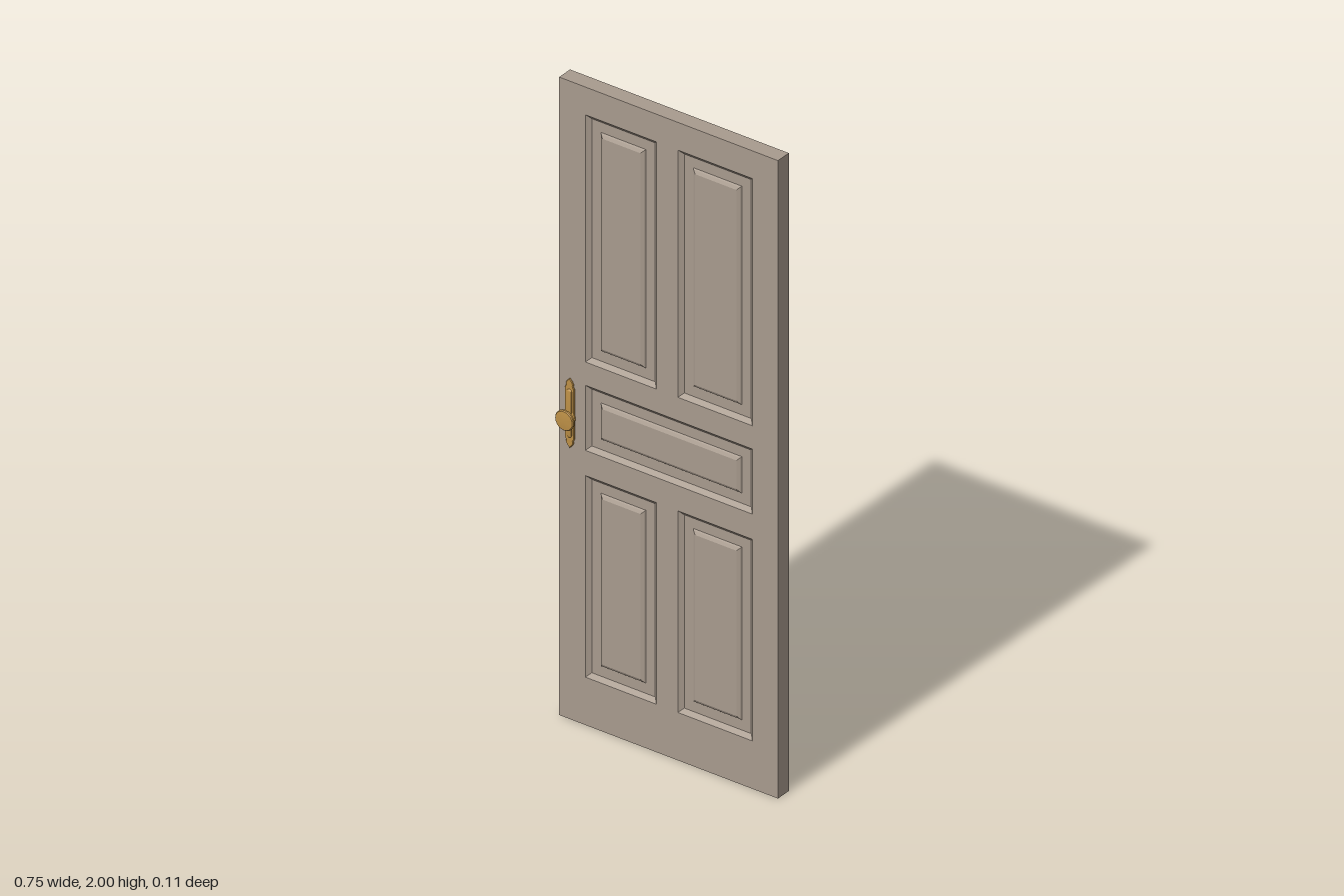
import * as THREE from 'three';
import { toCreasedNormals } from 'three/addons/utils/BufferGeometryUtils.js';

const HALF = 0.0255; // half the door thickness

// Flat-faced rings between successive rectangles [x0, y0, x1, y1, z], optionally capped
function rectRings(loops, cap) {
  const pos = [];
  const corners = ([x0, y0, x1, y1, z]) => [[x0, y0, z], [x1, y0, z], [x1, y1, z], [x0, y1, z]];
  const quad = (a, b, c, d) => pos.push(...a, ...b, ...c, ...a, ...c, ...d);
  for (let k = 0; k < loops.length - 1; k++) {
    const a = corners(loops[k]), b = corners(loops[k + 1]);
    for (let i = 0; i < 4; i++) quad(a[i], a[(i + 1) % 4], b[(i + 1) % 4], b[i]);
  }
  if (cap) quad(...corners(loops[loops.length - 1]));
  const g = new THREE.BufferGeometry();
  g.setAttribute('position', new THREE.Float32BufferAttribute(pos, 3));
  g.computeVertexNormals();
  return g;
}

const inset = ([x0, y0, x1, y1], d, z) => [x0 + d, y0 + d, x1 - d, y1 - d, z];

function rectPath(PathType, [x0, y0, x1, y1]) {
  return new PathType([[x0, y0], [x1, y0], [x1, y1], [x0, y1]].map(p => new THREE.Vector2(...p)));
}

// One face of the door: stiles and rails, half of the edge, and five raised panels
function makeDoorFace(wood) {
  const face = new THREE.Group();
  const add = (geo, name) => {
    const m = new THREE.Mesh(geo, wood);
    m.name = name;
    face.add(m);
  };
  const panels = [
    [-0.285, 1.138, -0.041, 1.913], [0.033, 1.138, 0.289, 1.913],
    [-0.285, 0.861, 0.289, 1.065],
    [-0.285, 0.15, -0.041, 0.782], [0.033, 0.15, 0.289, 0.782],
  ];
  const front = [-0.375, 0, 0.377, 2];
  const shape = rectPath(THREE.Shape, front);
  panels.forEach(p => shape.holes.push(rectPath(THREE.Path, p)));
  add(new THREE.ShapeGeometry(shape).translate(0, 0, HALF), 'stilesAndRails');
  add(rectRings([[-0.376, 0, 0.376, 2, 0], [...front, HALF]], false), 'doorEdge');
  panels.forEach(p => add(rectRings([
    inset(p, 0, HALF), inset(p, 0.005, HALF - 0.005), inset(p, 0.013, HALF - 0.012),
    inset(p, 0.045, HALF - 0.012), inset(p, 0.048, HALF - 0.008), inset(p, 0.057, HALF - 0.003),
  ], true), 'raisedPanel'));
  return face;
}

// Back plate and flat round knob, standing out along +z
function makeHandle(brass) {
  const handle = new THREE.Group();
  const add = (geo, name, y, z) => {
    const m = new THREE.Mesh(toCreasedNormals(geo, 0.6), brass);
    m.name = name;
    m.position.set(0, y, z);
    handle.add(m);
  };
  // Long plate with stepped, pointed ends
  const side = [[0.015, -0.078], [0.015, 0.078], [0.011, 0.086], [0.012, 0.093], [0.007, 0.101]];
  const quarter = side.slice(1);
  const outline = [
    ...quarter, [0, 0.108], ...quarter.map(([x, y]) => [-x, y]).reverse(),
    ...quarter.map(([x, y]) => [-x, -y]), [0, -0.108], ...quarter.map(([x, y]) => [x, -y]).reverse(),
  ].map(p => new THREE.Vector2(...p));
  add(new THREE.ExtrudeGeometry(new THREE.Shape(outline), {
    depth: 0.003, bevelThickness: 0.002, bevelSize: 0.002, bevelOffset: -0.001, bevelSegments: 1,
  }), 'backPlate', 0.961, HALF - 0.001);
  // Rounded rib down the plate
  add(new THREE.CapsuleGeometry(0.009, 0.135, 6, 12).scale(1, 1, 0.6), 'plateRib', 0.961, HALF + 0.003);
  const profile = [
    [0.019, 0], [0.019, 0.004], [0.013, 0.006], [0.012, 0.009], [0.007, 0.011], [0.007, 0.016],
    [0.014, 0.018], [0.029, 0.0185], [0.0315, 0.021], [0.0315, 0.026], [0.029, 0.029], [0.022, 0.03], [0, 0.03],
  ].map(p => new THREE.Vector2(...p));
  add(new THREE.LatheGeometry(profile, 20).rotateX(Math.PI / 2), 'knob', 0.948, HALF);
  return handle;
}

export function createModel() {
  const wood = new THREE.MeshStandardMaterial({ color: 0xa89b8e });
  wood.name = 'taupePaint';
  const brass = new THREE.MeshStandardMaterial({ color: 0xbc8f46 });
  brass.name = 'brass';

  const model = new THREE.Group();
  model.name = 'panelledDoor';
  for (const [label, angle] of [['front', 0], ['back', Math.PI]]) {
    const face = makeDoorFace(wood);
    face.name = label + 'Face';
    face.rotation.y = angle;
    const handle = makeHandle(brass);
    handle.name = label + 'Handle';
    handle.rotation.y = angle;
    handle.position.x = -0.337;
    model.add(face, handle);
  }
  return model;
}
